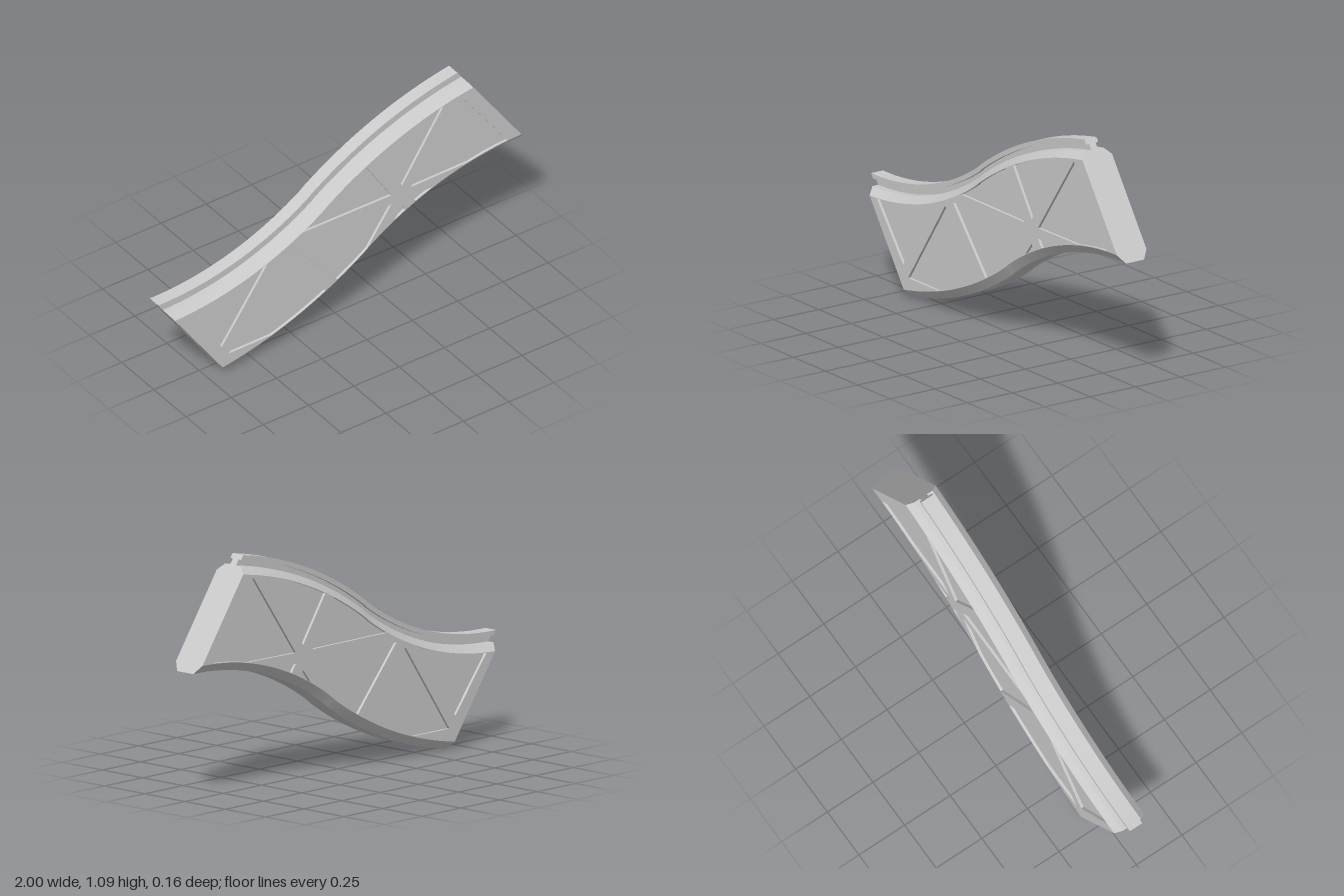
import * as THREE from 'three';
import { toCreasedNormals } from 'three/addons/utils/BufferGeometryUtils.js';

// S-curve made of two concentric arc bands, point-symmetric about (0, MID)
const CX = 0.98, CY = -0.8575, MID = 0.5425; // centre of the right-hand arcs
const R0 = 1.45, T = 0.52;                   // lower radius, full height of the band
const TILT = Math.atan2(CX, MID - CY);       // slope at the inflection
const CUT = 0.847;                           // distance from inflection to the slanted end cut
const HALF = 0.082, DEPTH = 0.013;           // half thickness, panel recess
const LOW = 0.038, HIGH = 0.438;             // height range of the flat faces

// Point at height h across the band and t = 0..1 along it
function along(h, t) {
  if (t < 0.5) {
    const [x, y] = along(T - h, 1 - t);
    return [-x, 2 * MID - y];
  }
  const rho = R0 + h;
  const a = -TILT + (2 * t - 1) * Math.asin(CUT / rho);
  return [CX + rho * Math.sin(a), CY + rho * Math.cos(a)];
}

// Height of curve h at a given x
function yAt(h, x) {
  const rho = R0 + h;
  if (x < CX - rho * Math.sin(TILT)) {
    const rl = R0 + T - h;
    return 2 * MID - CY - Math.sqrt(rl * rl - (x + CX) ** 2);
  }
  return CY + Math.sqrt(rho * rho - (x - CX) ** 2);
}

// Points along curve h between two x positions
function edge(h, x0, x1, n = 20) {
  return Array.from({ length: n + 1 }, (_, i) => {
    const x = x0 + (x1 - x0) * i / n;
    return new THREE.Vector2(x, yAt(h, x));
  });
}

// Chamfered body with T-shaped rail on top, swept along the S-curve
function coreGeometry() {
  const side = [
    [0, 0.05], [LOW, HALF], [LOW, HALF - DEPTH], [HIGH, HALF - DEPTH], [HIGH, HALF],
    [0.4706, 0.05], [0.4706, 0.018], [0.498, 0.018], [0.498, 0.033], [T, 0.033],
  ];
  const outline = [...side, ...side.map(([h, z]) => [h, -z]).reverse()];
  const shape = new THREE.Shape(outline.map(p => new THREE.Vector2(...p)));
  const geo = new THREE.ExtrudeGeometry(shape, { depth: 1, steps: 64, bevelEnabled: false });
  const pos = geo.attributes.position;
  for (let i = 0; i < pos.count; i++) {
    const z = pos.getY(i);
    const [x, y] = along(pos.getX(i), pos.getZ(i));
    pos.setXYZ(i, x, y, z);
  }
  return toCreasedNormals(geo, 0.5);
}

// Truss-like face layer: panels are holes with straight corners and one curved side
function trussGeometry() {
  const lo = LOW + 0.003, hi = HIGH - 0.003;
  const panels = [
    { corners: [[-0.682, 0.152]], h: hi, from: -0.43, to: -0.885 },
    { corners: [[-0.644, 0.099], [-0.356, 0.516]], h: lo, from: -0.11, to: -0.41 },
    { corners: [[-0.297, 0.548], [0.254, 0.548]], h: lo, from: 0.12, to: -0.045 },
    { corners: [[0.254, 0.599]], h: hi, from: 0.115, to: -0.233 },
    { corners: [[0.313, 0.628]], h: hi, from: 0.543, to: 0.168 },
    { corners: [[0.361, 0.599], [0.639, 0.986]], h: lo, from: 0.896, to: 0.676 },
    { corners: [[0.361, 0.548]], h: lo, from: 0.485, to: 0.388 },
    { corners: [[0.313, 0.511]], h: lo, from: 0.33, to: 0.265 },
  ];
  const N = 64, outline = [];
  for (let i = 0; i <= N; i++) outline.push(new THREE.Vector2(...along(LOW, i / N)));
  for (let i = N; i >= 0; i--) outline.push(new THREE.Vector2(...along(HIGH, i / N)));
  const shape = new THREE.Shape(outline);
  for (const { corners, h, from, to } of panels) {
    const pts = corners.map(p => new THREE.Vector2(...p));
    shape.holes.push(new THREE.Path([...pts, ...edge(h, from, to)]));
  }
  const geo = new THREE.ExtrudeGeometry(shape, { depth: DEPTH, bevelEnabled: false });
  return toCreasedNormals(geo, 0.5);
}

export function createModel() {
  const group = new THREE.Group();
  group.name = 'curvedTrussBeam';
  const material = new THREE.MeshStandardMaterial({ color: 0xcccccc });
  const add = (name, geo, z) => {
    const mesh = new THREE.Mesh(geo, material);
    mesh.name = name;
    mesh.position.z = z;
    group.add(mesh);
  };
  add('beamBodyWithRail', coreGeometry(), 0);
  const truss = trussGeometry();
  add('frontTrussRibs', truss, HALF - DEPTH);
  add('backTrussRibs', truss, -HALF);
  return group;
}
